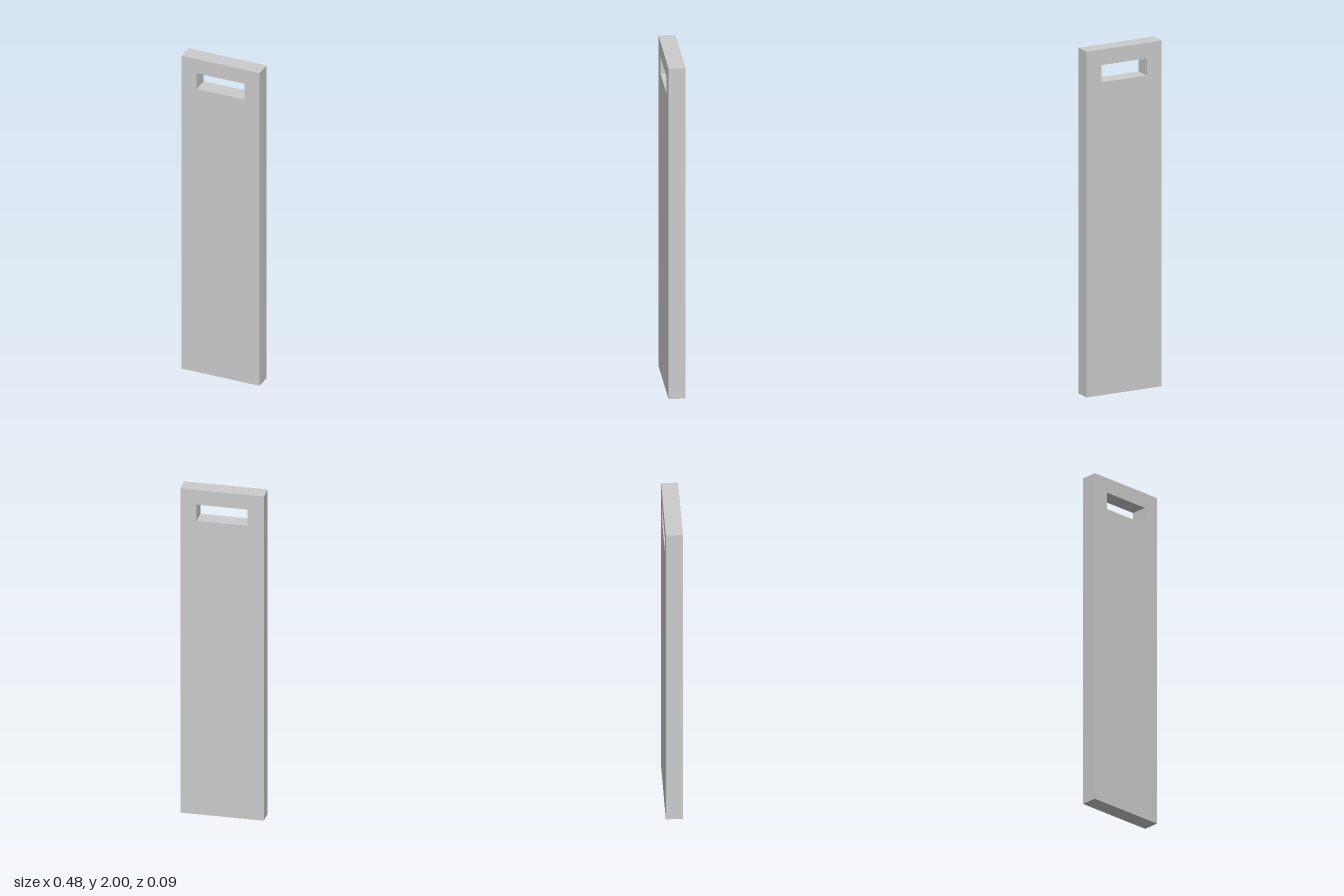
import * as THREE from 'three';

const WIDTH = 0.477, HEIGHT = 2, DEPTH = 0.095;
const SLOT = { width: 0.29, bottom: 1.81, top: 1.91 };

// Corners of a rectangle centred on x = 0
function rectangle(width, bottom, top) {
  const h = width / 2;
  return [[-h, bottom], [h, bottom], [h, top], [-h, top]].map(([x, y]) => new THREE.Vector2(x, y));
}

export function createModel() {
  const group = new THREE.Group();
  group.name = 'slottedPanel';

  // Flat upright panel with a rectangular hand slot near the top
  const outline = new THREE.Shape(rectangle(WIDTH, 0, HEIGHT));
  outline.holes.push(new THREE.Path(rectangle(SLOT.width, SLOT.bottom, SLOT.top).reverse()));
  const geometry = new THREE.ExtrudeGeometry(outline, { depth: DEPTH, bevelEnabled: false });
  geometry.translate(0, 0, -DEPTH / 2);

  const panel = new THREE.Mesh(geometry, new THREE.MeshStandardMaterial({ color: 0xcccccc, flatShading: true }));
  panel.name = 'panel';
  group.add(panel);
  return group;
}
